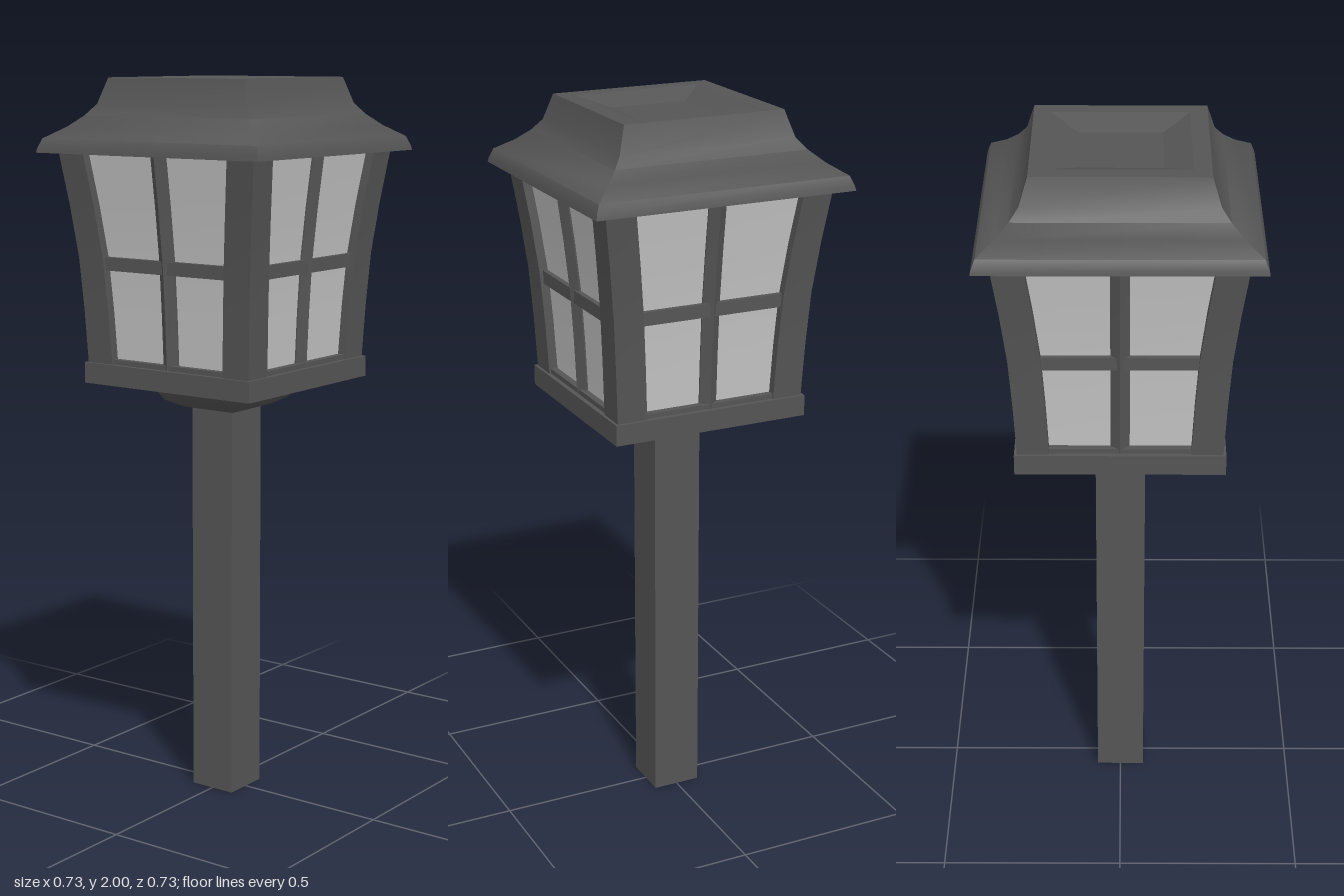
import * as THREE from 'three';
import { toCreasedNormals } from 'three/addons/utils/BufferGeometryUtils.js';

// Loft through rings of [x, z] points, counter-clockwise from above, listed bottom to top.
function loft(rings, { crease = 0.3, bottom = true, top = true } = {}) {
  const n = rings[0].pts.length, pos = [], idx = [];
  for (const r of rings) for (const [x, z] of r.pts) pos.push(x, r.y, z);
  for (let k = 0; k < rings.length - 1; k++) {
    for (let i = 0; i < n; i++) {
      const a = k * n + i, b = k * n + (i + 1) % n;
      idx.push(a, b, b + n, a, b + n, a + n);
    }
  }
  const last = (rings.length - 1) * n;
  for (let i = 1; i < n - 1; i++) {
    if (bottom) idx.push(0, i + 1, i);
    if (top) idx.push(last, last + i, last + i + 1);
  }
  const g = new THREE.BufferGeometry();
  g.setAttribute('position', new THREE.Float32BufferAttribute(pos, 3));
  g.setIndex(idx);
  return toCreasedNormals(g, crease);
}

// Square ring of half width h around (cx, cz)
const square = (h, y, cx = 0, cz = 0) => ({
  y, pts: [[cx + h, cz + h], [cx + h, cz - h], [cx - h, cz - h], [cx - h, cz + h]],
});

export function createModel() {
  const metal = new THREE.MeshStandardMaterial({ color: 0x555555 });
  metal.name = 'dark grey metal';
  const frosted = new THREE.MeshStandardMaterial({ color: 0xc4c4c4 });
  frosted.name = 'frosted glass';

  const model = new THREE.Group();
  model.name = 'gardenLantern';
  const add = (name, geo, mat = metal, parent = model) => {
    const m = new THREE.Mesh(geo, mat);
    m.name = name;
    parent.add(m);
    return m;
  };
  const box = (w, h, d, x, y, z) => new THREE.BoxGeometry(w, h, d).translate(x, y, z);

  // Stake, rounded neck and base plate
  add('stake', box(0.136, 1.11, 0.136, 0, 0.555, 0));
  const neck = [[0.07, 1.098], [0.085, 1.102], [0.122, 1.122], [0.158, 1.178]];
  add('neck', loft(neck.map(([h, y]) => square(h, y)), { crease: 1.65 }));
  add('basePlate', box(0.556, 0.057, 0.556, 0, 1.204, 0));
  add('bottomRail', box(0.53, 0.02, 0.53, 0, 1.236, 0));

  // Flaring lantern outline: [half width, height]
  const flare = [[0.27, 1.23], [0.277, 1.38], [0.286, 1.52], [0.302, 1.66], [0.322, 1.805]];

  // Glass set back behind the frame
  add('glass', loft(flare.map(([h, y]) => square(h - 0.025, y))), frosted);

  // Four sides, each with one corner post, a ridged upright and a cross bar
  const postHalf = 0.042;
  for (let s = 0; s < 4; s++) {
    const side = new THREE.Group();
    side.name = 'lanternSide' + (s + 1);
    side.rotation.y = s * Math.PI / 2;
    model.add(side);
    add('cornerPost', loft(flare.map(([h, y]) => square(postHalf, y, h - postHalf, h - postHalf))), metal, side);
    add('upright', loft(flare.map(([h, y]) => {
      const f = h - 0.003, w = 0.025;
      return { y, pts: [[0, f], [w, f - 0.018], [w, f - 0.05], [-w, f - 0.05], [-w, f - 0.018]] };
    })), metal, side);
    add('crossBar', box(0.44, 0.036, 0.04, 0, 1.507, 0.256), metal, side);
  }

  // Roof with a swept skirt and a shallow tray in the top
  const roof = [[0.2, 1.802], [0.365, 1.802], [0.362, 1.815], [0.352, 1.84], [0.306, 1.87],
    [0.272, 1.9], [0.248, 1.93], [0.226, 2], [0.18, 2]];
  add('roof', loft(roof.map(([h, y]) => square(h, y)), { crease: 1.05, top: false }));
  add('roofTray', loft([square(0.18, 2), square(0.11, 1.973)], { bottom: false }));

  return model;
}
